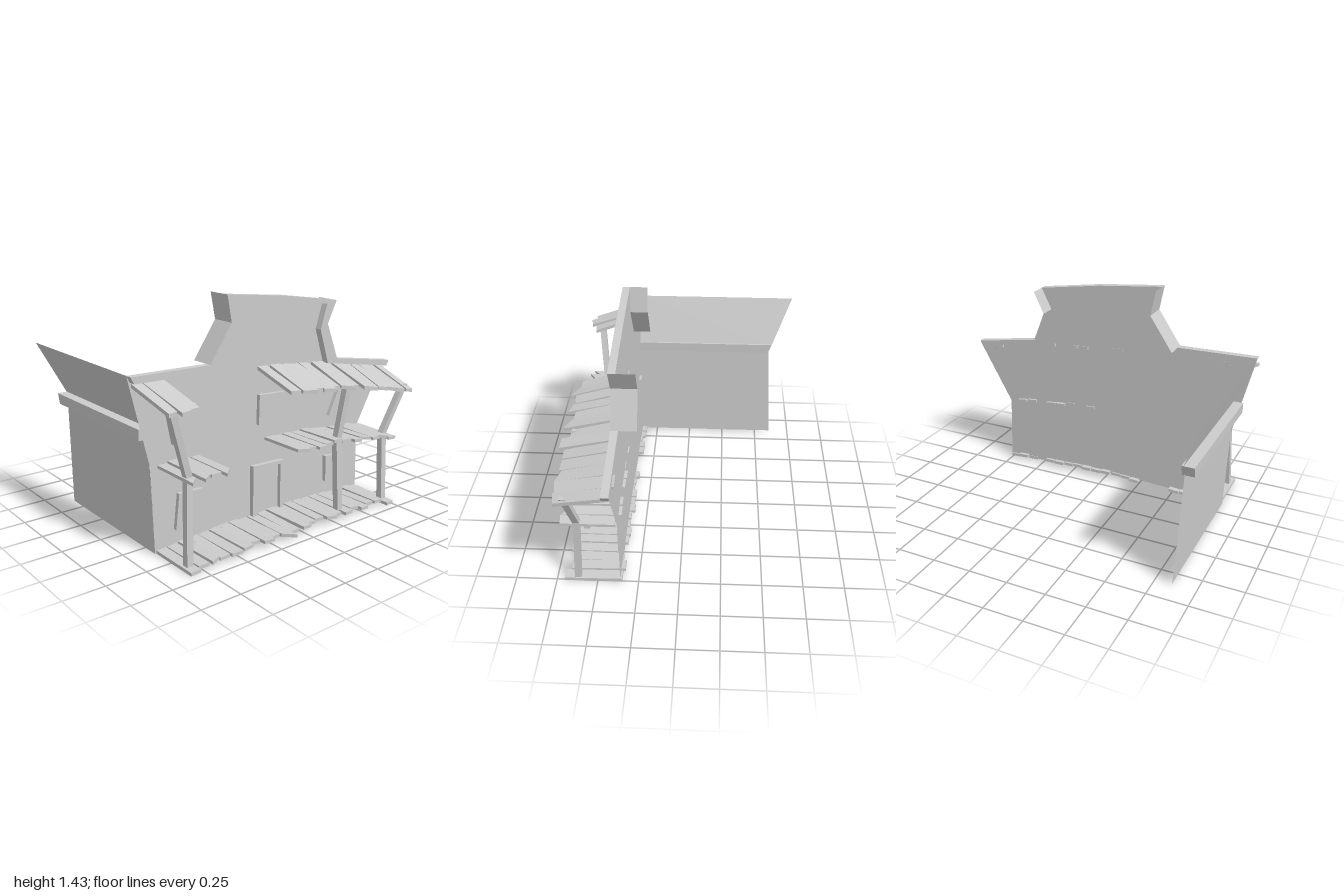
import * as THREE from 'three';

const mat = new THREE.MeshStandardMaterial({ color: 0xcccccc, flatShading: true, side: THREE.DoubleSide });
const WALL_Z = 0.36;

function add(parent, name, geometry) {
  const mesh = new THREE.Mesh(geometry, mat);
  mesh.name = name;
  parent.add(mesh);
  return mesh;
}

function subGroup(parent, name) {
  const g = new THREE.Group();
  g.name = name;
  parent.add(g);
  return g;
}

function seeded(seed) {
  return () => (seed = (seed * 16807) % 2147483647) / 2147483647;
}

// Box whose unit corners (-1 / +1 on each axis) are moved by a rule
function warpedBox(rule) {
  const g = new THREE.BoxGeometry(2, 2, 2).toNonIndexed();
  const p = g.attributes.position;
  for (let i = 0; i < p.count; i++) p.setXYZ(i, ...rule(p.getX(i), p.getY(i), p.getZ(i)));
  g.computeVertexNormals();
  return g;
}

// Square timber between two points, cut level at both ends
function post(a, b, w = 0.04) {
  return warpedBox((x, y, z) => {
    const e = y < 0 ? a : b;
    return [e[0] + x * w / 2, e[1], e[2] + z * w / 2];
  });
}

// Open strip joining two polylines
function sheet(rowA, rowB) {
  const pos = [], idx = [];
  rowA.forEach((a, i) => {
    pos.push(...a, ...rowB[i]);
    if (i) idx.push(2 * i - 2, 2 * i - 1, 2 * i, 2 * i, 2 * i - 1, 2 * i + 1);
  });
  const g = new THREE.BufferGeometry();
  g.setAttribute('position', new THREE.Float32BufferAttribute(pos, 3));
  g.setIndex(idx);
  g.computeVertexNormals();
  return g;
}

function shapeOf(points) {
  return new THREE.Shape(points.map(([x, y]) => new THREE.Vector2(x, y)));
}

function panel(points, depth) {
  const g = new THREE.ExtrudeGeometry(shapeOf(points), { depth, bevelEnabled: false });
  return g.translate(0, 0, WALL_Z);
}

// Row of uneven boards; height(x) gives the deck line, drop the fall to the front
function boards(parent, name, o) {
  const group = subGroup(parent, name);
  const rand = seeded(o.seed);
  const step = (o.x1 - o.x0) / o.count;
  for (let i = 0; i < o.count; i++) {
    const cx = o.x0 + (i + 0.5) * step;
    const half = step * (0.43 + 0.05 * rand());
    const y = o.height(cx) + (rand() - 0.5) * 0.012;
    const slope = (o.height(cx + 0.05) - o.height(cx - 0.05)) / 0.1 + (rand() - 0.5) * 0.06;
    const back = o.back + (rand() - 0.5) * 0.04;
    const front = 0.68 + (rand() - 0.5) * 0.05;
    const skew = rand() < 0.25 ? (rand() - 0.5) * 0.07 : (rand() - 0.5) * 0.012;
    const lean = -cx * (o.fan || 0) + (rand() - 0.5) * 0.012;
    const drop = (o.drop || 0) + (rand() - 0.5) * 0.012;
    add(group, 'board', warpedBox((sx, sy, sz) => {
      const f = (sz + 1) / 2;
      return [
        cx + sx * half + lean * f,
        Math.max(0, y + sx * half * slope - drop * f + sy * o.thick / 2),
        back + (front - back) * f + sx * skew * f,
      ];
    }));
  }
}

export function createModel() {
  const model = new THREE.Group();
  model.name = 'crookedHouseFront';

  // Front wall with flared sides, tall parapet and arched foot
  const parapetLeft = [[0.5, 0.95], [0.41, 1.18], [0.48, 1.32]];
  const parapetRight = [[-0.37, 1.43], [-0.34, 1.27], [-0.49, 1.05]];
  const topLine = [[0.99, 0.87], ...parapetLeft, [0.06, 1.385], ...parapetRight, [-1, 1.06]];
  const foot = [[-0.855, 0.005], [-0.35, 0.035], [0, 0.045], [0.35, 0.035], [0.76, 0.01]];
  add(model, 'frontWall', new THREE.ShapeGeometry(
    shapeOf([...foot, [0.75, 0.45], ...topLine, [-0.87, 0.52]])).translate(0, 0, WALL_Z));

  // Raised trim along the top edge
  const innerLine = [[-0.98, 1.02], [-0.4, 1.005], [-0.27, 1.26], [-0.29, 1.4], [0.06, 1.355],
    [0.4, 1.305], [0.35, 1.15], [0.42, 0.93], [0.97, 0.835]];
  add(model, 'topTrim', panel([...topLine, ...innerLine], 0.045));

  // Parapet sides folding back
  for (const line of [parapetLeft, parapetRight]) {
    add(model, 'parapetReturn', sheet(
      line.map(([x, y]) => [x, y, 0.405]),
      line.map(([x, y]) => [x, y, 0.25])));
  }

  // Side wall: lower part, ledge beam and outward-leaning upper part
  add(model, 'sideWallLower', sheet(
    [[-0.855, 0.005, WALL_Z], [-0.88, 0.7, WALL_Z]],
    [[-0.855, 0.005, -0.61], [-0.88, 0.7, -0.57]]));
  add(model, 'sideWallUpper', sheet(
    [[-0.87, 0.74, WALL_Z], [-1, 1.06, WALL_Z]],
    [[-0.87, 0.74, -0.585], [-1, 1.06, -0.72]]));
  add(model, 'sideLedge', warpedBox((x, y, z) => [
    -0.9 + x * 0.037, 0.722 + y * 0.032, z > 0 ? WALL_Z : -0.575 - y * 0.01]));

  // Crooked windows
  const windows = [
    [[-0.77, 0.835], [-0.57, 0.84], [-0.55, 0.63], [-0.73, 0.63]],
    [[-0.7, 0.335], [-0.535, 0.33], [-0.56, 0.13], [-0.725, 0.12]],
    [[-0.115, 0.81], [0.08, 0.8], [0.06, 0.615], [-0.12, 0.625]],
    [[0.55, 0.755], [0.715, 0.725], [0.66, 0.55], [0.465, 0.575]],
    [[0.445, 0.305], [0.61, 0.29], [0.62, 0.11], [0.45, 0.13]],
  ];
  windows.forEach((w) => add(model, 'window', panel(w, 0.025)));

  // Door surround and door leaf
  add(model, 'doorFrame', panel([[-0.165, 0.04], [-0.165, 0.375], [0.08, 0.365], [0.08, 0.04],
    [0.052, 0.04], [0.052, 0.345], [-0.14, 0.35], [-0.14, 0.04]], 0.03));
  add(model, 'door', panel([[-0.14, 0.04], [0.052, 0.04], [0.052, 0.345], [-0.14, 0.35]], 0.006));

  // Porch floor, balconies and porch roofs
  const floorY = (x) => 0.045 - 0.045 * x * x;
  const balconyY = (x) => 0.525 - 0.03 * (x + 0.07) - 0.06 * (x + 0.07) ** 2;
  const roofY = (x) => 0.975 - 0.05 * (x + 0.1) - 0.085 * (x + 0.1) ** 2;
  boards(model, 'porchFloor', { x0: -0.85, x1: 0.76, count: 22, height: floorY, back: 0.345, thick: 0.02, seed: 11 });
  boards(model, 'balconyRight', { x0: -0.83, x1: -0.55, count: 4, height: () => 0.525, back: 0.36, thick: 0.018, seed: 23 });
  boards(model, 'balconyLeft', { x0: -0.07, x1: 0.76, count: 11, height: balconyY, back: 0.355, thick: 0.018, seed: 37 });
  boards(model, 'roofRight', { x0: -0.98, x1: -0.77, count: 3, height: () => 1.0, back: 0.37, drop: 0.095, thick: 0.022, fan: 0.03, seed: 51 });
  boards(model, 'roofLeft', { x0: -0.12, x1: 0.96, count: 13, height: roofY, back: 0.36, drop: 0.095, thick: 0.022, fan: 0.06, seed: 77 });

  // Porch posts: floor, balcony and roof points
  const posts = [
    [[-0.81, 0.02, 0.62], [-0.79, 0.52, 0.6], [-0.91, 0.92, 0.63]],
    [[0.33, 0.04, 0.62], [0.315, 0.5, 0.605], [0.365, 0.855, 0.63]],
    [[0.73, 0.02, 0.62], [0.73, 0.46, 0.6], [0.88, 0.77, 0.63]],
  ];
  for (const [a, b, c] of posts) {
    add(model, 'lowerPost', post(a, b));
    add(model, 'upperPost', post(b, c));
  }

  return model;
}
